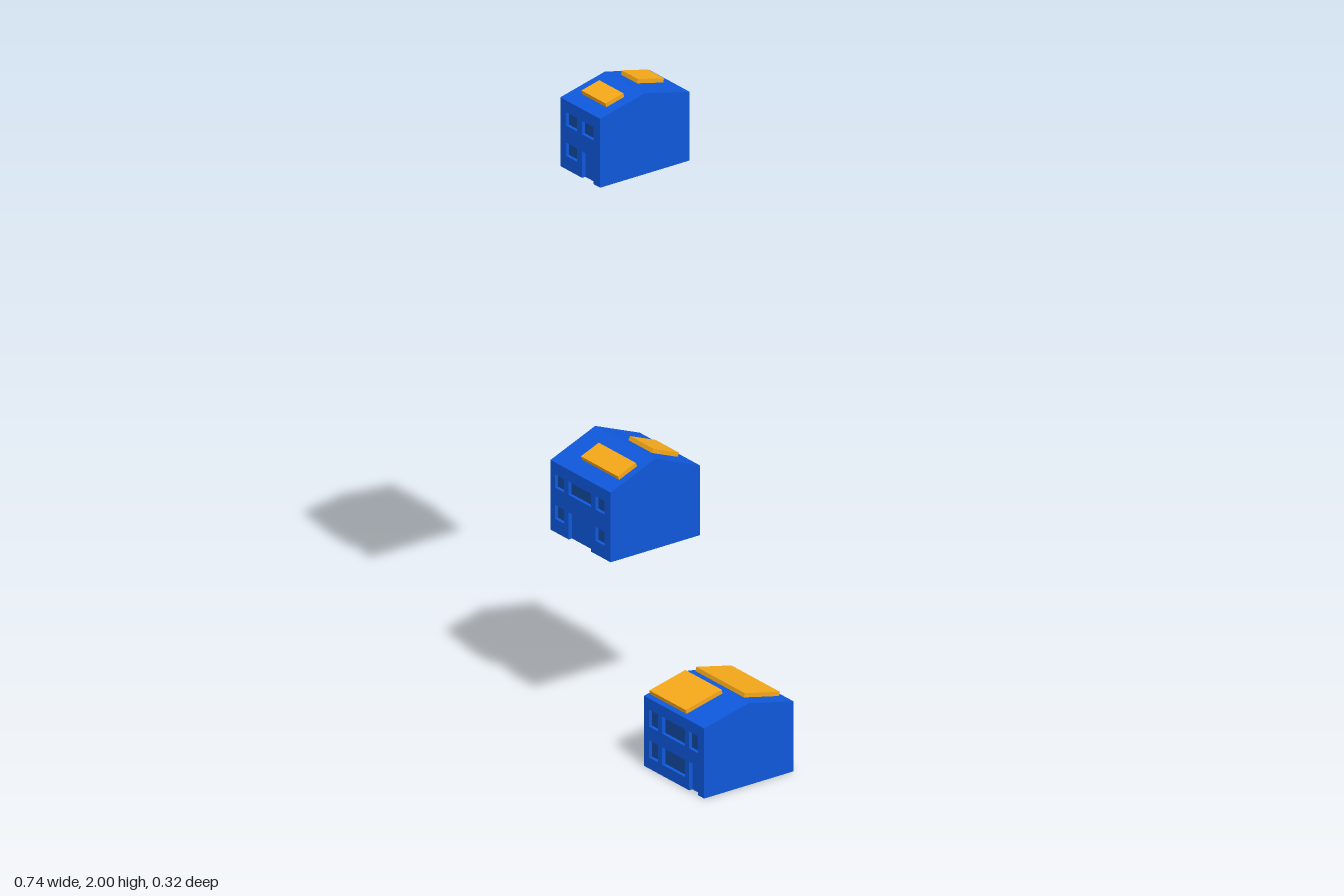
import * as THREE from 'three';

const HALF = 0.16;    // half depth of every house
const RECESS = 0.012; // depth of windows and doors
const wallMat = new THREE.MeshStandardMaterial({ color: 0x0f58dc });
const glassMat = new THREE.MeshStandardMaterial({ color: 0x12479c });
const panelMat = new THREE.MeshStandardMaterial({ color: 0xf5a81a });

const add = (group, name, geometry, material) => {
  const mesh = new THREE.Mesh(geometry, material);
  mesh.name = name;
  group.add(mesh);
  return mesh;
};

const polygon = (points) => points.map(([x, y]) => new THREE.Vector2(x, y));

// Heights are measured from the base of the house; x values are in model space.
function createHouse({ name, x0, x1, base, eaves, ridge, windows, door, panels }) {
  const house = new THREE.Group();
  house.name = name;
  house.position.y = base;

  // Gabled body, its front set back under the eaves behind the facade
  const inner = HALF - RECESS;
  const profile = new THREE.Shape(polygon([
    [-HALF, 0], [inner, 0], [inner, eaves], [HALF, eaves], [0, ridge], [-HALF, eaves],
  ].map(([z, y]) => [-z, y])));
  const bodyGeo = new THREE.ExtrudeGeometry(profile, { depth: x1 - x0, bevelEnabled: false });
  bodyGeo.rotateY(Math.PI / 2).translate(x0, 0, 0);
  add(house, 'body', bodyGeo, wallMat);

  // Facade with a door notch and window openings
  const [d0, d1, dTop] = door;
  const front = new THREE.Shape(polygon([
    [x0, 0], [d0, 0], [d0, dTop], [d1, dTop], [d1, 0], [x1, 0], [x1, eaves], [x0, eaves],
  ]));
  windows.forEach(([a, b, low, high]) => {
    front.holes.push(new THREE.Path(polygon([[a, low], [a, high], [b, high], [b, low]])));
    const pane = new THREE.PlaneGeometry(b - a, high - low);
    pane.translate((a + b) / 2, (low + high) / 2, inner + 0.001);
    add(house, 'windowPane', pane, glassMat);
  });
  const frontGeo = new THREE.ExtrudeGeometry(front, { depth: RECESS, bevelEnabled: false });
  add(house, 'facade', frontGeo.translate(0, 0, inner), wallMat);

  // Roof panels lying on the slopes; z runs from the ridge side to the eaves side
  const slope = Math.atan2(ridge - eaves, HALF);
  const thick = 0.013;
  panels.forEach(([side, a, b, near, far]) => {
    const length = (far - near - thick * Math.sin(slope)) / Math.cos(slope);
    const z = (near + far) / 2;
    const panel = add(house, side > 0 ? 'frontRoofPanel' : 'backRoofPanel',
      new THREE.BoxGeometry(b - a, thick, length), panelMat);
    const y = ridge - z * Math.tan(slope) + thick / 2 / Math.cos(slope);
    panel.position.set((a + b) / 2, y, side * z);
    panel.rotation.x = side * slope;
  });
  return house;
}

export function createModel() {
  const model = new THREE.Group();
  model.name = 'houses';

  model.add(createHouse({
    name: 'lowerHouse', x0: 0.08, x1: 0.368, base: 0, eaves: 0.22, ridge: 0.257,
    windows: [
      [0.103, 0.146, 0.132, 0.185], [0.167, 0.275, 0.132, 0.185], [0.296, 0.339, 0.132, 0.185],
      [0.103, 0.146, 0.035, 0.089], [0.167, 0.275, 0.035, 0.089],
    ],
    door: [0.296, 0.339, 0.089],
    panels: [[1, 0.088, 0.262, 0.015, 0.147], [-1, 0.088, 0.32, 0.018, 0.147]],
  }));

  model.add(createHouse({
    name: 'middleHouse', x0: -0.368, x1: -0.08, base: 0.582, eaves: 0.219, ridge: 0.283,
    windows: [
      [-0.346, -0.303, 0.14, 0.182], [-0.281, -0.174, 0.14, 0.182], [-0.153, -0.11, 0.14, 0.182],
      [-0.346, -0.303, 0.042, 0.085], [-0.153, -0.11, 0.042, 0.085],
    ],
    door: [-0.281, -0.174, 0.085],
    panels: [[1, -0.28, -0.103, 0.048, 0.117], [-1, -0.255, -0.143, 0.035, 0.132]],
  }));

  model.add(createHouse({
    name: 'upperHouse', x0: -0.321, x1: -0.13, base: 1.741, eaves: 0.216, ridge: 0.254,
    windows: [
      [-0.293, -0.24, 0.137, 0.179], [-0.217, -0.163, 0.137, 0.179], [-0.293, -0.24, 0.042, 0.084],
    ],
    door: [-0.217, -0.163, 0.084],
    panels: [[1, -0.28, -0.165, 0.048, 0.115], [-1, -0.291, -0.214, 0.035, 0.132]],
  }));

  return model;
}
